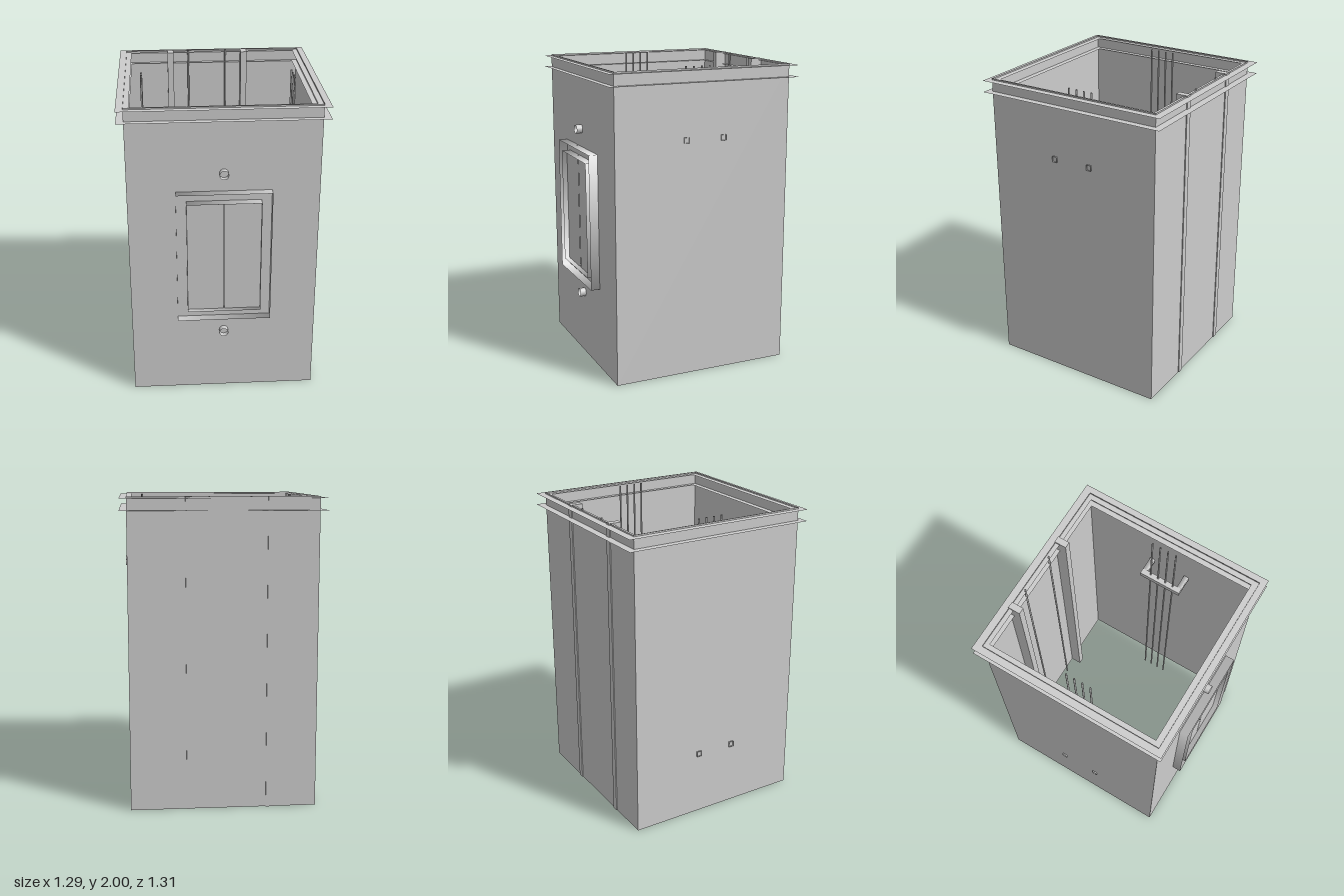
import * as THREE from 'three';

const material = new THREE.MeshStandardMaterial({ color: 0xcccccc, side: THREE.DoubleSide });

export function createModel() {
  const model = new THREE.Group();

  function add(name, geometry, x = 0, y = 0, z = 0, parent = model) {
    const mesh = new THREE.Mesh(geometry, material);
    mesh.name = name;
    mesh.position.set(x, y, z);
    parent.add(mesh);
    return mesh;
  }

  // Open four-sided sleeve of thin sheet, running along z
  function sleeve(w, h, depth) {
    const g = new THREE.CylinderGeometry(Math.SQRT1_2, Math.SQRT1_2, 1, 4, 1, true);
    return g.rotateY(Math.PI / 4).rotateX(Math.PI / 2).scale(w, h, depth);
  }

  // Thin shaft walls, open at top and bottom
  const zc = -0.005;
  for (const s of [-1, 1]) {
    add('sideWall', new THREE.PlaneGeometry(1.2, 2).rotateY(s * Math.PI / 2), s * 0.6, 1, zc);
    add(s > 0 ? 'frontWall' : 'backWall',
      new THREE.PlaneGeometry(1.2, 2).rotateY(s > 0 ? 0 : Math.PI), 0, 1, zc + s * 0.6);
  }

  // Two flat flange rings round the top
  const ring = new THREE.Shape();
  const rect = (path, r) => path.moveTo(-r, -r).lineTo(r, -r).lineTo(r, r).lineTo(-r, r).closePath();
  rect(ring, 0.645);
  const hole = new THREE.Path();
  rect(hole, 0.566);
  ring.holes.push(hole);
  for (const y of [1.99, 1.915]) {
    add('topFlange', new THREE.ShapeGeometry(ring).rotateX(-Math.PI / 2), 0, y, -0.01);
  }

  // Guide posts set into the back wall
  for (const x of [-0.295, 0.218]) {
    add('guidePost', new THREE.BoxGeometry(0.042, 2, 0.08), x, 1, -0.571);
  }

  // Front opening: outer sleeve, inner sleeve and recessed double door
  const door = new THREE.Group();
  door.name = 'doorway';
  door.position.y = 1.002;
  model.add(door);
  add('outerFrame', sleeve(0.6, 0.895, 0.11), 0, 0, 0.6, door);
  add('innerFrame', sleeve(0.47, 0.765, 0.11), 0, 0, 0.6, door);
  for (const s of [-1, 1]) {
    add('doorPanel', new THREE.PlaneGeometry(0.232, 0.765), s * 0.119, 0, 0.62, door);
  }

  // Short pipes through the front wall, above and below the doorway
  for (const y of [0.44, 1.568]) {
    const pipe = new THREE.CylinderGeometry(0.029, 0.029, 0.09, 16, 1, true).rotateX(Math.PI / 2);
    add('wallPipe', pipe, 0, y, 0.59);
  }

  // U-shaped brackets on the side walls with hanging cables
  for (const [s, y] of [[-1, 0.437], [1, 1.557]]) {
    const bracket = new THREE.Group();
    bracket.name = 'cableBracket';
    bracket.position.set(0, y, -0.01);
    model.add(bracket);
    add('bracketBar', new THREE.BoxGeometry(0.038, 0.036, 0.29), s * 0.489, 0, 0, bracket);
    for (const z of [-0.128, 0.128]) {
      add('bracketArm', sleeve(0.034, 0.036, 0.102).rotateY(Math.PI / 2), s * 0.559, 0, z, bracket);
    }
    for (let i = 0; i < 4; i++) {
      add('cable', new THREE.CylinderGeometry(0.006, 0.006, 2, 8, 1, true),
        s * 0.495, 1, -0.09 + i * 0.055);
    }
  }

  // Thin cables along the back wall
  for (const x of [-0.17, 0.09]) {
    add('backCable', new THREE.CylinderGeometry(0.006, 0.006, 2, 8, 1, true), x, 1, -0.585);
  }

  return model;
}
